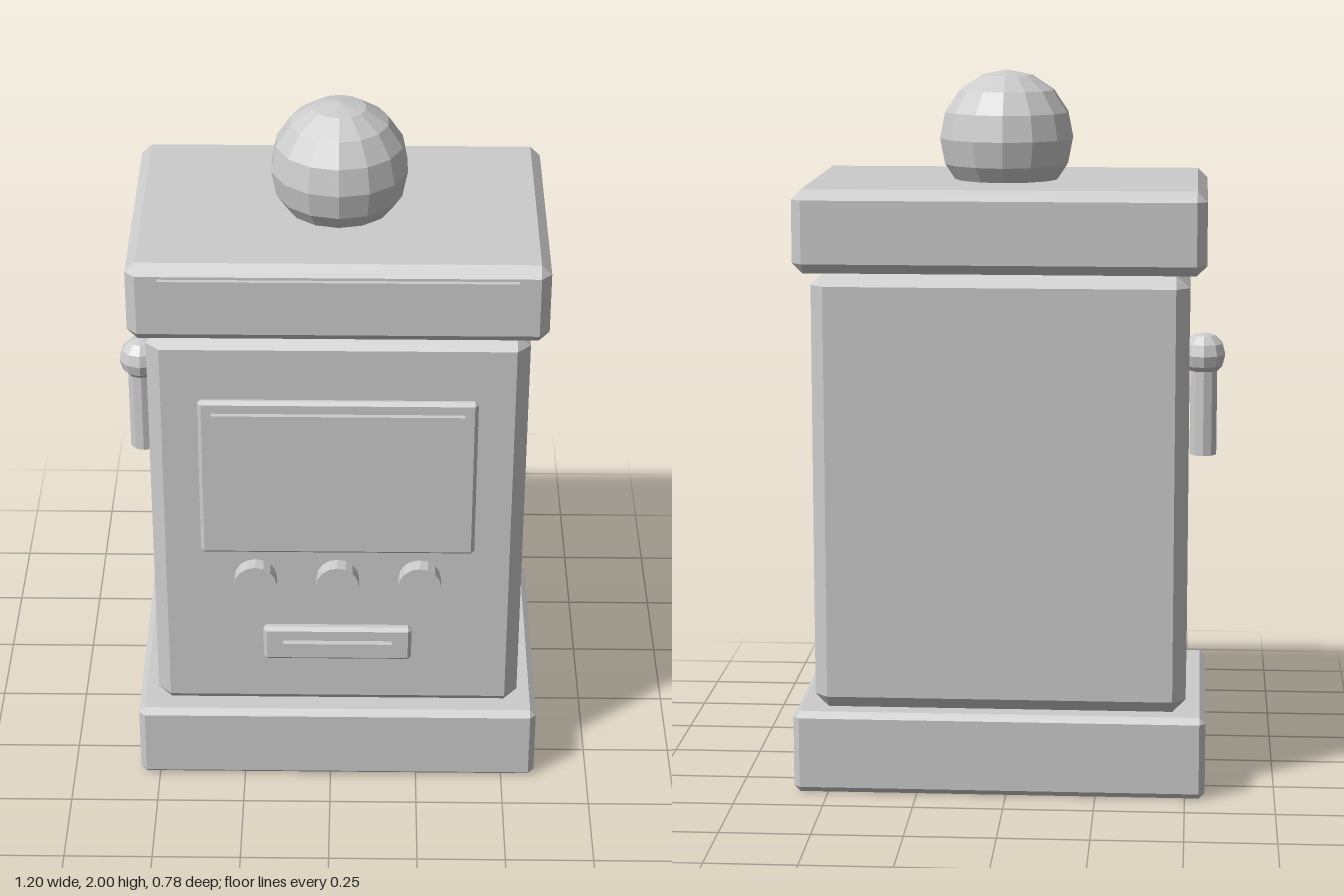
import * as THREE from 'three';
import { ConvexGeometry } from 'three/addons/geometries/ConvexGeometry.js';

const CX = 0.02, CZ = -0.004;

export function createModel() {
  const model = new THREE.Group();
  model.name = 'arcadeCabinet';
  const grey = new THREE.MeshStandardMaterial({ color: 0xcccccc, flatShading: true });
  grey.name = 'plain grey';

  const add = (name, geometry, x, y, z) => {
    const mesh = new THREE.Mesh(geometry, grey);
    mesh.name = name;
    mesh.position.set(x, y, z);
    model.add(mesh);
    return mesh;
  };

  // Box with chamfered edges and small triangular corners
  const chamferBox = (w, h, d, b) => {
    const half = [w / 2, h / 2, d / 2], points = [];
    for (const sx of [-1, 1]) for (const sy of [-1, 1]) for (const sz of [-1, 1]) {
      for (let axis = 0; axis < 3; axis++) {
        const c = half.map((v, i) => (i === axis ? v : v - b));
        points.push(new THREE.Vector3(sx * c[0], sy * c[1], sz * c[2]));
      }
    }
    return new ConvexGeometry(points);
  };

  // Cabinet blocks
  const block = (name, w, d, y0, y1, b) =>
    add(name, chamferBox(w, y1 - y0, d, b), CX, (y0 + y1) / 2, CZ);
  block('base', 1.152, 0.768, 0, 0.233, 0.017);
  block('body', 1.04, 0.696, 0.233, 1.465, 0.037);
  block('cap', 1.132, 0.75, 1.465, 1.695, 0.028);

  // Panels on the front: width, height, centre height, back and front depth
  const panel = (name, w, h, y, z0, z1, b = 0) =>
    add(name, b ? chamferBox(w, h, z1 - z0, b) : new THREE.BoxGeometry(w, h, z1 - z0),
      CX, y, (z0 + z1) / 2);
  panel('marquee', 0.958, 0.157, 1.581, 0.35, 0.384);
  panel('screenFrame', 0.766, 0.498, 1.024, 0.32, 0.36, 0.01);
  panel('screen', 0.692, 0.43, 1.022, 0.34, 0.374);
  panel('slotPlate', 0.422, 0.111, 0.466, 0.32, 0.367, 0.01);
  panel('slot', 0.31, 0.03, 0.465, 0.34, 0.384);

  // Round buttons
  for (const i of [-1, 0, 1]) {
    add('button', new THREE.CylinderGeometry(0.06, 0.06, 0.07, 16), CX + i * 0.231, 0.686, 0.353)
      .rotation.x = Math.PI / 2;
  }

  // Faceted balls with a vertex line facing front
  const ball = (name, r, sides, rings, x, y) => {
    add(name, new THREE.SphereGeometry(r, sides, rings), x, y, CZ).rotation.y = Math.PI / 2;
  };
  ball('topBall', 0.19, 14, 8, CX, 1.81);

  // Side lever
  add('leverStick', new THREE.CylinderGeometry(0.04, 0.04, 0.29, 10), -0.541, 1.055, CZ);
  ball('leverKnob', 0.063, 10, 6, -0.541, 1.198);

  return model;
}
